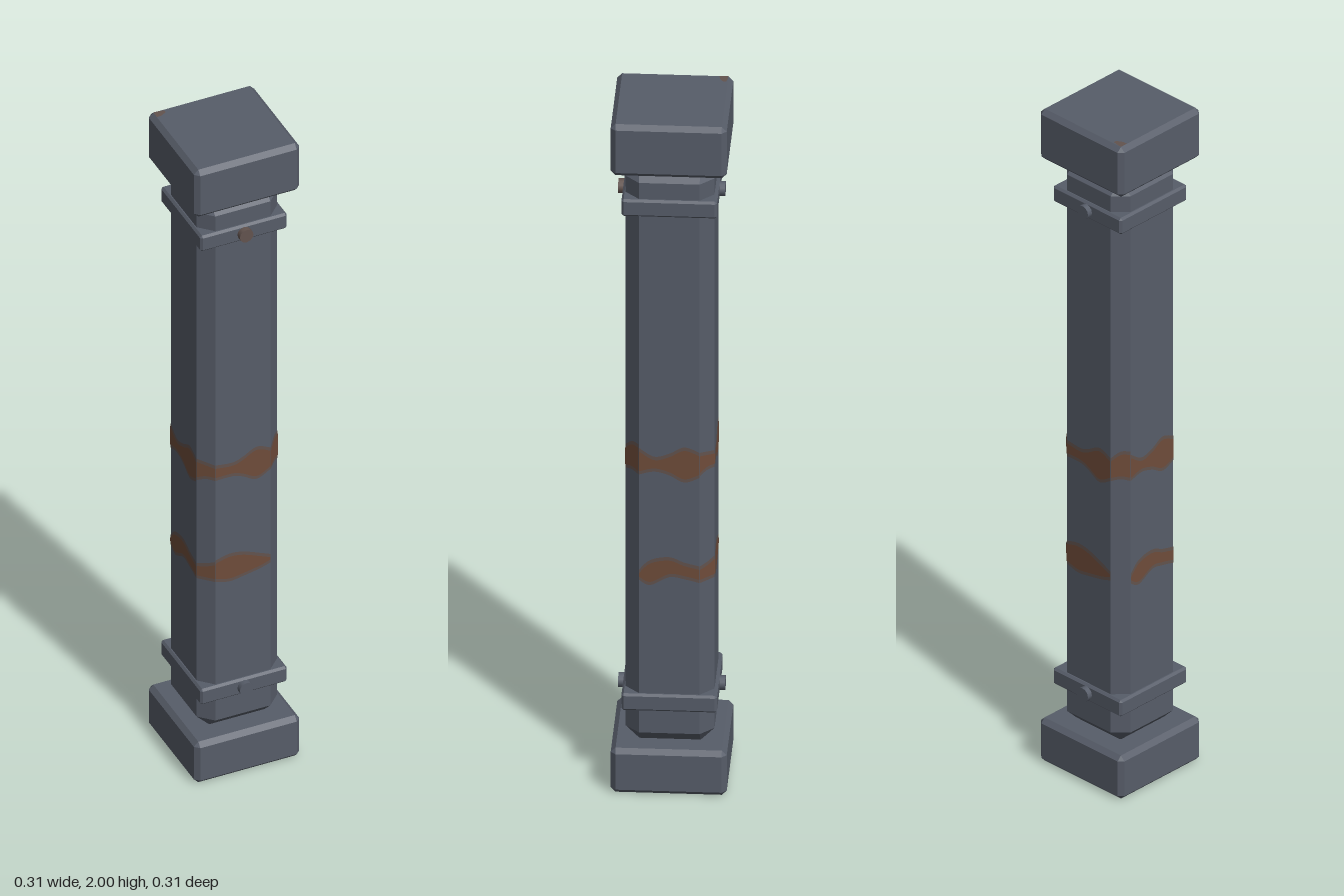
import * as THREE from 'three';
import { ConvexGeometry } from 'three/addons/geometries/ConvexGeometry.js';

const steel = new THREE.MeshStandardMaterial({ color: 0x575d69 });
steel.name = 'blue grey steel';
const rust = new THREE.MeshStandardMaterial({ color: 0x6f4c3a });
rust.name = 'rust';
const rustFade = new THREE.MeshStandardMaterial({ color: 0x62534e });
rustFade.name = 'faded rust';

// Box with every edge cut at 45 degrees
function chamferedBox(half, y0, y1, b) {
  const h = (y1 - y0) / 2;
  const points = [];
  for (const sx of [-1, 1]) for (const sy of [-1, 1]) for (const sz of [-1, 1]) {
    points.push(
      new THREE.Vector3(sx * half, sy * (h - b), sz * (half - b)),
      new THREE.Vector3(sx * (half - b), sy * h, sz * (half - b)),
      new THREE.Vector3(sx * (half - b), sy * (h - b), sz * half));
  }
  return new ConvexGeometry(points).translate(0, (y0 + y1) / 2, 0);
}

function add(parent, name, geometry, material) {
  const mesh = new THREE.Mesh(geometry, material);
  mesh.name = name;
  parent.add(mesh);
  return mesh;
}

// Flat stain from [u, low, high] stations, shrunk by an inset
function stainGeometry(stations, inset) {
  const low = stations.map(([u, lo]) => new THREE.Vector2(u, lo + inset));
  const high = stations.map(([u, , hi]) => new THREE.Vector2(u, hi - inset)).reverse();
  const shape = new THREE.Shape();
  shape.moveTo(low[0].x, low[0].y);
  shape.splineThru(low.slice(1));
  shape.lineTo(high[0].x, high[0].y);
  shape.splineThru(high.slice(1));
  return new THREE.ShapeGeometry(shape, 6);
}

export function createModel() {
  const model = new THREE.Group();
  model.name = 'column';

  // Main blocks
  const HALF = 0.117, CUT = 0.037;
  add(model, 'base', chamferedBox(0.153, 0, 0.132, 0.013), steel);
  add(model, 'shaft', chamferedBox(HALF, 0.13, 1.85, CUT), steel);
  add(model, 'cap', chamferedBox(0.153, 1.847, 2, 0.013), steel);

  // Clamping bands with a bolt at front and back
  for (const y of [0.26, 1.74]) {
    const band = new THREE.Group();
    band.name = y < 1 ? 'lowerBand' : 'upperBand';
    model.add(band);
    add(band, 'bandRing', chamferedBox(0.126, y - 0.025, y + 0.025, 0.006), steel);
    for (const side of [1, -1]) {
      const rusty = y > 1 && side > 0;
      const bolt = add(band, 'bolt',
        new THREE.CylinderGeometry(0.02, 0.02, 0.03, 12).rotateX(Math.PI / 2),
        rusty ? rustFade : steel);
      bolt.position.set(0, y, side * 0.126);
    }
  }

  // Rust streaks around the shaft, repeated on the opposite side
  const flat = HALF;
  const corner = (2 * HALF - CUT) / Math.SQRT2;
  const streaks = [
    { turn: 0, out: flat, at: [[-0.08, 0.95, 1.0], [-0.03, 0.95, 0.995], [0, 0.94, 1.005],
      [0.04, 0.92, 1.025], [0.08, 0.94, 1.01]] },
    { turn: 1, out: corner, at: [[-0.026, 0.94, 1.01], [0, 0.945, 1.03], [0.026, 0.94, 1.03]] },
    { turn: 2, out: flat, at: [[-0.08, 0.94, 1.02], [-0.04, 0.95, 0.995], [0, 0.94, 1.005],
      [0.04, 0.92, 1.025], [0.08, 0.935, 1.01]] },
    { turn: 3, out: corner, at: [[-0.026, 0.94, 1.01], [0, 0.95, 1.005], [0.026, 0.95, 1.0]] },
    { turn: 0, out: flat, at: [[-0.08, 0.62, 0.69], [-0.04, 0.61, 0.7], [0, 0.615, 0.695],
      [0.05, 0.625, 0.675], [0.08, 0.635, 0.662]] },
    { turn: 2, out: flat, at: [[-0.08, 0.625, 0.655], [-0.05, 0.61, 0.685], [0, 0.635, 0.695],
      [0.04, 0.63, 0.68], [0.08, 0.62, 0.67]] },
    { turn: 3, out: corner, at: [[-0.026, 0.62, 0.67], [0, 0.62, 0.675], [0.026, 0.62, 0.685]] },
  ];
  const stains = new THREE.Group();
  stains.name = 'rustStreaks';
  model.add(stains);
  for (const { turn, out, at } of streaks) {
    for (const half of [0, Math.PI]) {
      for (const [inset, lift, material] of [[0, 0.001, rustFade], [0.01, 0.002, rust]]) {
        const stain = add(stains, 'rustStreak',
          stainGeometry(at, inset).translate(0, 0, out + lift), material);
        stain.rotation.y = turn * Math.PI / 4 + half;
      }
    }
  }

  // Small stain on the corner of the cap
  const spot = add(model, 'capStain',
    stainGeometry([[-0.14, 0.117, 0.14], [-0.125, 0.119, 0.139], [-0.11, 0.128, 0.136]], 0)
      .rotateX(-Math.PI / 2), rustFade);
  spot.position.y = 2.0005;

  return model;
}
